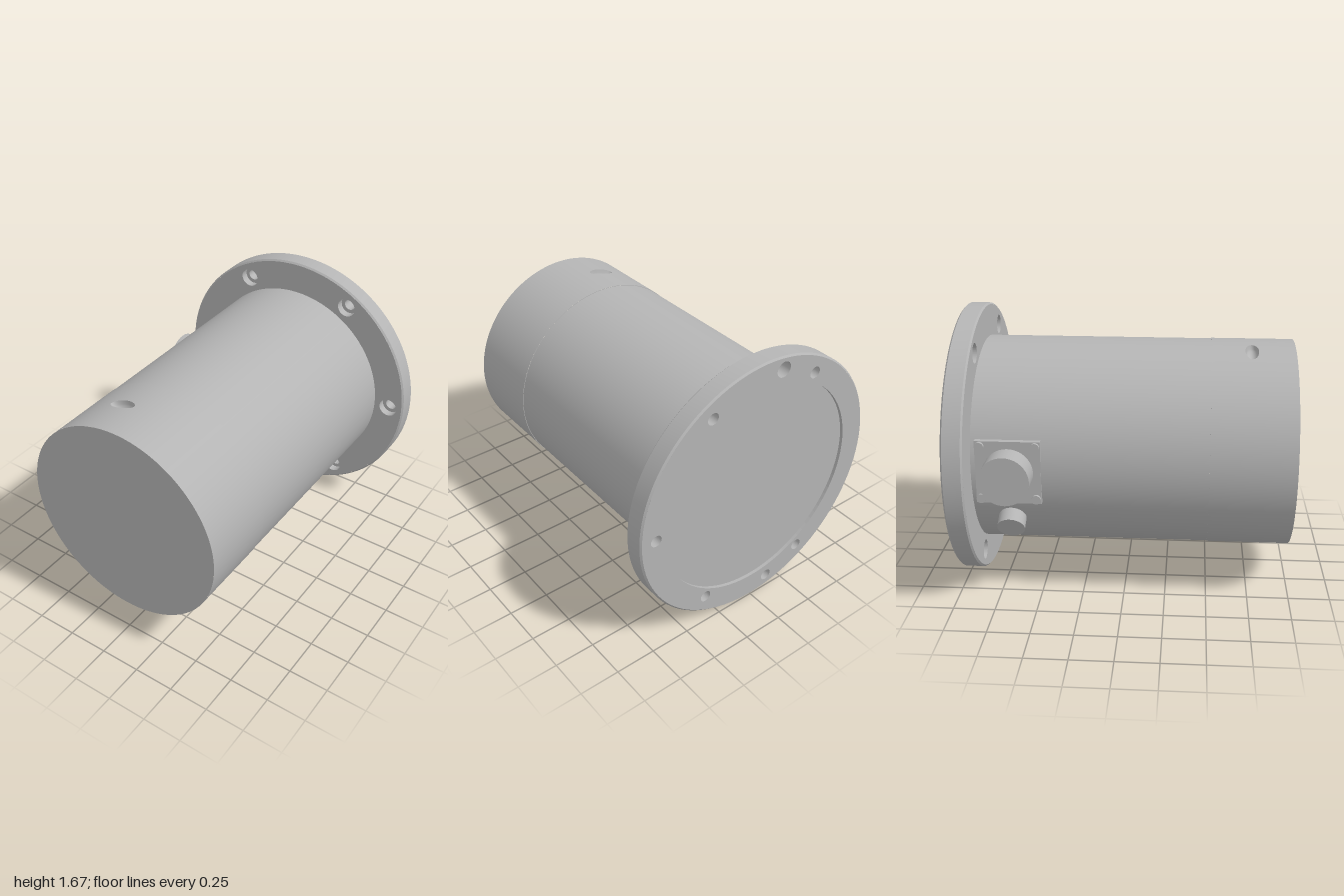
import * as THREE from 'three';
import { toCreasedNormals } from 'three/addons/utils/BufferGeometryUtils.js';

const AXIS_Y = 0.8375, BODY_R = 0.633, CAP_R = 0.636, FLANGE_R = 0.835;
const CAP_Z = 0.5, DIMPLE_Z = 0.74, DIMPLE_T = -0.246, PATCH_T = 0.3;

// Cylinder lying along z, between two depths
function zCylinder(r, z0, z1, open = false, start = 0, length = Math.PI * 2, segments = 96) {
  return new THREE.CylinderGeometry(r, r, z1 - z0, segments, 1, open, start, length)
    .rotateX(Math.PI / 2).translate(0, 0, (z0 + z1) / 2);
}

// Cylinder lying along x, between two distances
function xCylinder(r, x0, x1, y = 0, z = 0) {
  return new THREE.CylinderGeometry(r, r, Math.abs(x1 - x0), 40)
    .rotateZ(Math.PI / 2).translate((x0 + x1) / 2, y, z);
}

// Disc or ring with round holes, given as [x, y, radius]
function plate(r, holes, z0, z1) {
  const shape = new THREE.Shape().absarc(0, 0, r, 0, Math.PI * 2, false);
  for (const [x, y, hr] of holes) {
    shape.holes.push(new THREE.Path().absarc(x, y, hr, 0, Math.PI * 2, true));
  }
  return new THREE.ExtrudeGeometry(shape, { depth: z1 - z0, bevelEnabled: false, curveSegments: 48 })
    .translate(0, 0, z0);
}

// Closed loops joined into a surface; point(s, a) with s from 0 to 1 outward
function loops(rings, point) {
  const n = 64, pos = [], index = [];
  for (let i = 0; i <= rings; i++) {
    for (let j = 0; j < n; j++) {
      const [t, z, r] = point(i / rings, j / n * Math.PI * 2);
      pos.push(r * Math.sin(t), r * Math.cos(t), z);
      if (i === rings) continue;
      const a = i * n + j, b = i * n + (j + 1) % n;
      index.push(a, b, a + n, b, b + n, a + n);
    }
  }
  const g = new THREE.BufferGeometry();
  g.setAttribute('position', new THREE.Float32BufferAttribute(pos, 3));
  g.setIndex(index);
  g.computeVertexNormals();
  return g;
}

export function createModel() {
  const root = new THREE.Group();
  root.name = 'flangedHousing';
  const model = new THREE.Group();
  model.name = 'housing';
  model.position.y = AXIS_Y;
  root.add(model);
  const grey = new THREE.MeshStandardMaterial({ color: 0xb4b4b4 });
  grey.name = 'grey metal';
  const add = (name, geometry, parent = model) => {
    const mesh = new THREE.Mesh(geometry, grey);
    mesh.name = name;
    parent.add(mesh);
    return mesh;
  };

  // Main barrel
  add('barrel', zCylinder(BODY_R, -0.9, CAP_Z));

  // Front cap: two shell arcs, a patch with a dimple on top and one below
  for (const turn of [0, Math.PI]) {
    add('capShell', zCylinder(CAP_R, CAP_Z, 1, true, PATCH_T - DIMPLE_T + turn, Math.PI - 2 * PATCH_T));
    const patch = loops(8, (s, a) => {
      const c = Math.cos(a), d = Math.sin(a), m = 1 / Math.max(Math.abs(c), Math.abs(d));
      const lerp = THREE.MathUtils.lerp;
      const half = d > 0 ? 1 - DIMPLE_Z : DIMPLE_Z - CAP_Z;
      return [DIMPLE_T + lerp(0.134 * c, PATCH_T * c * m, s), DIMPLE_Z + lerp(0.04 * d, half * d * m, s), CAP_R];
    });
    const bowl = loops(10, (s, a) => [
      DIMPLE_T + 0.134 * s * Math.cos(a), DIMPLE_Z + 0.04 * s * Math.sin(a),
      CAP_R - 0.05 * Math.sqrt(1 - s * s),
    ]);
    add('capPatch', patch).rotation.z = turn;
    add('capDimple', bowl).rotation.z = turn;
  }
  add('capFace', new THREE.CircleGeometry(CAP_R, 96).translate(0, 0, 1));
  add('capBackEdge', new THREE.RingGeometry(BODY_R - 0.01, CAP_R, 96).rotateY(Math.PI).translate(0, 0, CAP_Z));

  // Mounting flange: counterbored front, drilled middle, recessed back
  const bolts = [-120, -60, 0, 60, 120].map((deg) => {
    const a = THREE.MathUtils.degToRad(deg);
    return [0.73 * Math.cos(a), 0.73 * Math.sin(a)];
  });
  const bores = bolts.map(([x, y]) => [x, y, 0.06]);
  const drills = bolts.map(([x, y]) => [x, y, 0.036]);
  const pins = [[-0.12, 0.745, 0.048], [-0.12, -0.745, 0.036]];
  const inner = FLANGE_R - 0.01;
  add('flangeFront', plate(inner, bores, -0.925, -0.875));
  add('flangeMiddle', plate(inner, [...drills, ...pins], -0.98, -0.925));
  add('flangeBackRim', plate(inner, [...drills, ...pins, [0, 0, 0.675]], -1, -0.98));
  const rim = [[inner, -1], [FLANGE_R, -0.99], [FLANGE_R, -0.885], [inner, -0.875]]
    .map(([r, z]) => new THREE.Vector2(r, z));
  add('flangeEdge', toCreasedNormals(new THREE.LatheGeometry(rim, 128).rotateX(Math.PI / 2), 0.5));

  // Side connector on a square plate with four screws
  const connector = new THREE.Group();
  connector.name = 'sideConnector';
  connector.position.z = -0.657;
  model.add(connector);
  add('connectorPlate', new THREE.BoxGeometry(0.04, 0.38, 0.38).translate(-0.617, 0, 0), connector);
  add('connectorBarrel', xCylinder(0.146, -0.78, -0.62), connector);
  for (const y of [-0.16, 0.16]) {
    for (const z of [-0.16, 0.16]) add('connectorScrew', xCylinder(0.027, -0.655, -0.62, y, z), connector);
  }

  // Small port below the connector
  const port = add('smallPort', xCylinder(0.082, -0.714, -0.58, 0, -0.657));
  port.rotation.z = Math.PI / 6;

  return root;
}
